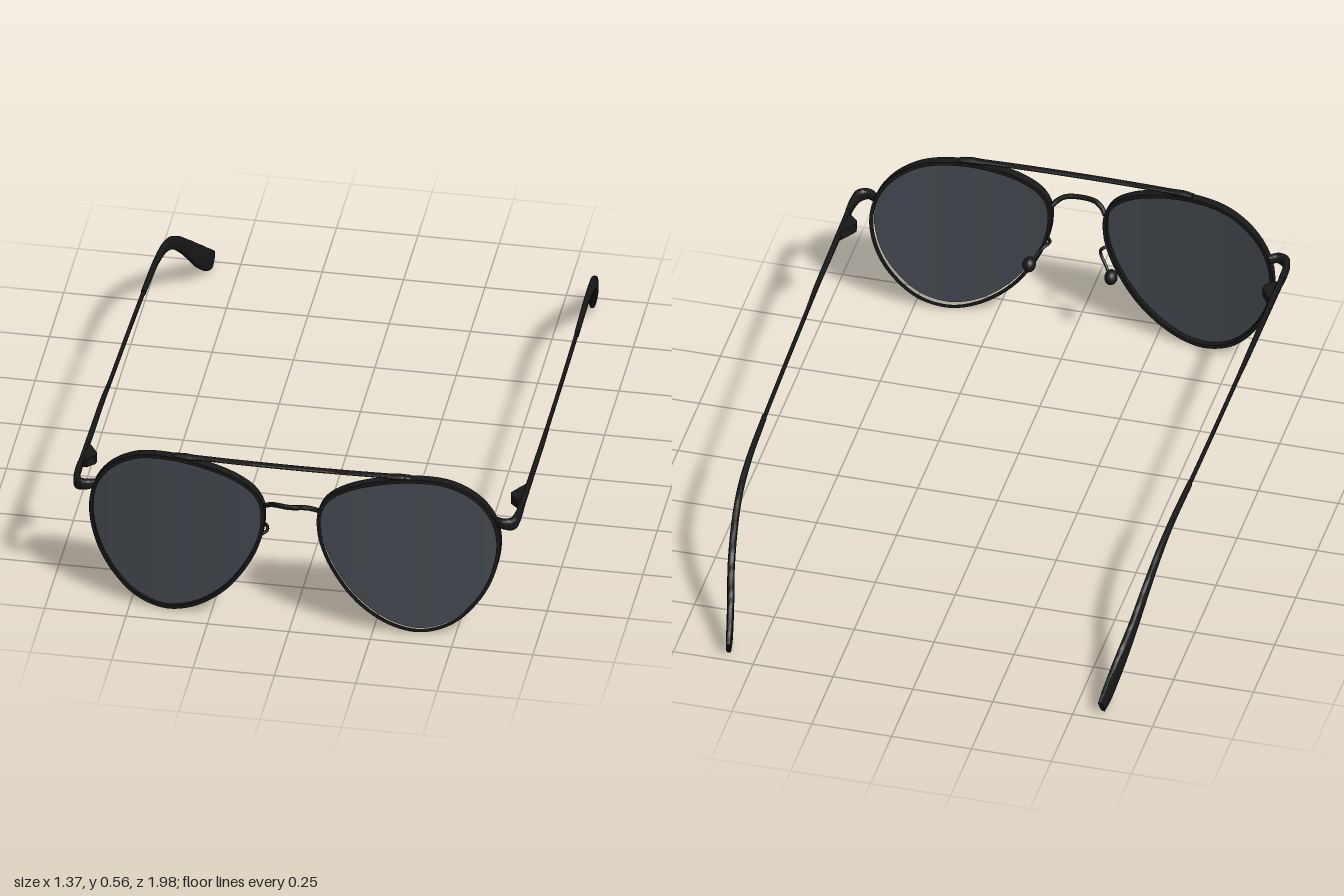
import * as THREE from 'three';
import { toCreasedNormals } from 'three/addons/utils/BufferGeometryUtils.js';

const V = (x, y, z) => new THREE.Vector3(x, y, z);

// Teardrop lens outline, from the nose over the top and round
const OUTLINE = [
  [0.08, 0.38], [0.085, 0.43], [0.112, 0.477], [0.17, 0.516], [0.27, 0.546], [0.38, 0.556],
  [0.48, 0.541], [0.56, 0.492], [0.612, 0.42], [0.632, 0.33], [0.616, 0.22], [0.57, 0.123],
  [0.49, 0.04], [0.395, 0.01], [0.3, 0.034], [0.2, 0.11], [0.125, 0.22], [0.09, 0.31],
];
const CENTRE = [0.37, 0.3];
const RIM_WIDTH = 0.012, RIM_DEPTH = 0.028;

// Face-form wrap: everything at the front follows this curve
const wrapZ = (x) => 0.968 - 0.18 * x * x;

function bend(geometry) {
  const p = geometry.attributes.position;
  for (let i = 0; i < p.count; i++) p.setZ(i, p.getZ(i) + wrapZ(p.getX(i)));
  geometry.computeVertexNormals();
  return geometry;
}

// Sweep a rounded-rectangle section along stations [x, y, z, halfWidth, halfHeight]
function sweep(stations, segments = 24) {
  const path = new THREE.CatmullRomCurve3(stations.map(([x, y, z]) => V(x, y, z)));
  const up = V(0, 1, 0);
  const geometry = new THREE.CylinderGeometry(1, 1, 1, 16, segments);
  const p = geometry.attributes.position;
  const soften = (c) => Math.sign(c) * Math.abs(c) ** 0.6;
  for (let i = 0; i < p.count; i++) {
    const t = THREE.MathUtils.clamp(p.getY(i) + 0.5, 0, 1);
    const f = t * (stations.length - 1);
    const k = Math.min(Math.floor(f), stations.length - 2);
    const size = (n) => THREE.MathUtils.lerp(stations[k][n], stations[k + 1][n], f - k);
    const tangent = path.getTangent(t);
    const side = tangent.clone().cross(up).normalize();
    const normal = side.clone().cross(tangent);
    const point = path.getPoint(t)
      .addScaledVector(side, soften(p.getX(i)) * size(3))
      .addScaledVector(normal, soften(p.getZ(i)) * size(4));
    p.setXYZ(i, point.x, point.y, point.z);
  }
  geometry.computeVertexNormals();
  return toCreasedNormals(geometry, 0.8);
}

export function createModel() {
  const frameMat = new THREE.MeshStandardMaterial({ color: 0x181818 });
  frameMat.name = 'black frame';
  const lensMat = new THREE.MeshStandardMaterial({ color: 0x454950, side: THREE.DoubleSide });
  lensMat.name = 'smoke lens';

  const model = new THREE.Group();
  model.name = 'sunglasses';
  const add = (name, geometry, material = frameMat) => {
    const mesh = new THREE.Mesh(geometry, material);
    mesh.name = name;
    model.add(mesh);
    return mesh;
  };

  for (const s of [1, -1]) {
    const label = s > 0 ? 'left' : 'right';
    const mirror = (rows) => rows.map(([x, ...rest]) => [s * x, ...rest]);

    const outline = new THREE.CatmullRomCurve3(OUTLINE.map(([x, y]) => V(s * x, y, 0)), true);
    const outer = outline.getPoints(96).slice(0, 96);
    const inner = outer.map((q, i) => {
      const d = outer[(i + 1) % 96].clone().sub(outer[(i + 95) % 96]).normalize();
      return V(q.x + s * d.y * RIM_WIDTH, q.y - s * d.x * RIM_WIDTH, 0);
    });

    // Rim: outline with the lens opening cut out, wrapped round the face
    const shape = new THREE.Shape(outer.map((q) => new THREE.Vector2(q.x, q.y)));
    shape.holes.push(new THREE.Path(inner.map((q) => new THREE.Vector2(q.x, q.y))));
    const rim = new THREE.ExtrudeGeometry(shape, { depth: RIM_DEPTH, bevelEnabled: false });
    rim.translate(0, 0, -RIM_DEPTH);
    add(label + 'Rim', toCreasedNormals(bend(rim), 0.7));

    // Lens: rings from the middle out to the rim
    const lens = new THREE.PlaneGeometry(1, 1, 96, 10);
    const p = lens.attributes.position;
    for (let i = 0; i < p.count; i++) {
      const edge = inner[Math.round((p.getX(i) + 0.5) * 96) % 96];
      const r = (p.getY(i) + 0.5) * 1.01;
      p.setXYZ(i,
        THREE.MathUtils.lerp(s * CENTRE[0], edge.x, r),
        THREE.MathUtils.lerp(CENTRE[1], edge.y, r), -0.01);
    }
    if (s > 0) {
      // Keep the front of each lens facing forward
      const index = lens.index;
      for (let i = 0; i < index.count; i += 3) {
        const a = index.getX(i);
        index.setX(i, index.getX(i + 1));
        index.setX(i + 1, a);
      }
    }
    bend(lens);
    // The lens is nearly flat, so take its normals from the wrap curve
    for (let i = 0; i < p.count; i++) {
      const n = V(0.36 * p.getX(i), 0, 1).normalize();
      lens.attributes.normal.setXYZ(i, n.x, n.y, n.z);
    }
    add(label + 'Lens', lens, lensMat);

    // End piece wrapping from the rim to the arm
    add(label + 'EndPiece', sweep(mirror([
      [0.615, 0.4, 0.884, 0.01, 0.013], [0.642, 0.401, 0.898, 0.012, 0.016],
      [0.667, 0.398, 0.888, 0.012, 0.02], [0.677, 0.398, 0.845, 0.009, 0.02],
      [0.678, 0.398, 0.79, 0.008, 0.018],
    ])));

    // Arm: flat blade, then a thin wire
    add(label + 'Arm', sweep(mirror([
      [0.678, 0.398, 0.82, 0.007, 0.018], [0.677, 0.394, 0.62, 0.007, 0.014],
      [0.676, 0.389, 0.4, 0.007, 0.009], [0.674, 0.384, 0.3, 0.006, 0.005],
      [0.67, 0.374, 0, 0.006, 0.005], [0.665, 0.365, -0.28, 0.006, 0.006],
    ])));

    // Ear tip curving down and inwards
    add(label + 'EarTip', sweep(mirror([
      [0.666, 0.366, -0.24, 0.007, 0.011], [0.66, 0.356, -0.44, 0.008, 0.013],
      [0.654, 0.327, -0.57, 0.009, 0.018], [0.645, 0.28, -0.665, 0.01, 0.021],
      [0.628, 0.195, -0.775, 0.011, 0.025], [0.604, 0.102, -0.875, 0.011, 0.035],
      [0.59, 0.05, -0.94, 0.01, 0.035], [0.584, 0.031, -0.974, 0.008, 0.028],
    ]), 48));

    // Hinge knuckle on the inside of the arm
    const knuckle = new THREE.Shape([[0.676, 0.67], [0.655, 0.7], [0.636, 0.73], [0.638, 0.747], [0.662, 0.77], [0.676, 0.77]]
      .map(([x, z]) => new THREE.Vector2(s * x, -z)));
    const hinge = new THREE.ExtrudeGeometry(knuckle, { depth: 0.03, bevelEnabled: false });
    hinge.rotateX(-Math.PI / 2).translate(0, 0.378, 0);
    add(label + 'Hinge', hinge);

    // Nose pad on its curled wire
    const wire = new THREE.CatmullRomCurve3([
      [0.094, 0.31, 0.945], [0.08, 0.312, 0.918], [0.09, 0.312, 0.888],
      [0.104, 0.295, 0.876], [0.122, 0.268, 0.86],
    ].map(([x, y, z]) => V(s * x, y, z)));
    add(label + 'NosePadWire', new THREE.TubeGeometry(wire, 24, 0.005, 8));
    const pad = add(label + 'NosePad', new THREE.SphereGeometry(1, 20, 14));
    pad.scale.set(0.02, 0.024, 0.025);
    pad.position.set(s * 0.128, 0.262, 0.857);

    // Flattened end of the brow bar where it meets the rim
    add(label + 'BrowBarEnd', sweep(mirror([
      [0.29, 0.558, 0.937, 0.012, 0.004], [0.33, 0.558, 0.935, 0.013, 0.007],
      [0.365, 0.557, 0.931, 0.011, 0.005],
    ]), 8));
  }

  // Straight brow bar across the top
  add('browBar', sweep([-0.35, -0.17, 0, 0.17, 0.35].map(
    (x) => [x, 0.559, 0.942 - 0.06 * x * x, 0.011, 0.0045])));

  // Arched nose bridge
  const bridge = [[0.084, 0.42, 0.952], [0.072, 0.432, 0.965], [0.048, 0.444, 0.979]];
  add('noseBridge', sweep([
    ...bridge.map(([x, y, z]) => [-x, y, z, 0.007, 0.007]),
    [0, 0.445, 0.988, 0.007, 0.007],
    ...bridge.reverse().map(([x, y, z]) => [x, y, z, 0.007, 0.007]),
  ]));

  return model;
}
